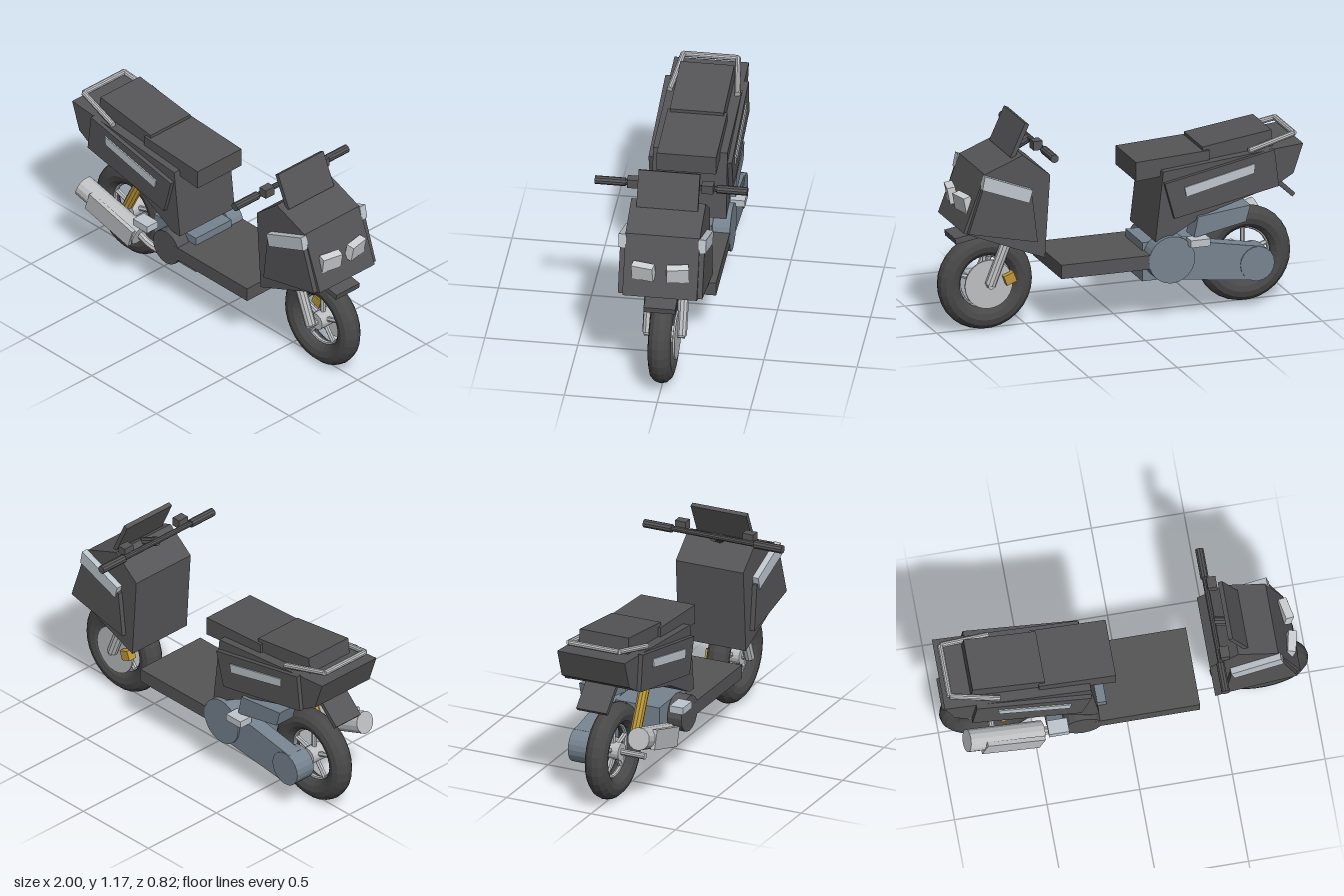
import * as THREE from 'three';

const material = (name, color) => {
  const m = new THREE.MeshStandardMaterial({ color, flatShading: true });
  m.name = name;
  return m;
};

export function createModel() {
  const model = new THREE.Group();
  model.name = 'scooter';
  const body = material('charcoal body', 0x555557);
  const rubber = material('tyre rubber', 0x484848);
  const silver = material('silver metal', 0xbcbec0);
  const trim = material('pale trim', 0xbec6cd);
  const lamp = material('lamp glass', 0xcfd1d4);
  const engineGrey = material('blue grey engine', 0x76838f);
  const gold = material('gold', 0xbd9836);

  const add = (name, geometry, mat, x = 0, y = 0, z = 0, parent = model) => {
    const mesh = new THREE.Mesh(geometry, mat);
    mesh.name = name;
    mesh.position.set(x, y, z);
    parent.add(mesh);
    return mesh;
  };
  const box = (name, w, h, d, mat, x, y, z, tilt = 0) => {
    const mesh = add(name, new THREE.BoxGeometry(w, h, d), mat, x, y, z);
    mesh.rotation.z = tilt;
    return mesh;
  };
  // Side profile extruded from z0 to z1
  const slab = (name, points, z0, z1, mat) => {
    const shape = new THREE.Shape(points.map(([x, y]) => new THREE.Vector2(x, y)));
    const geometry = new THREE.ExtrudeGeometry(shape, { depth: z1 - z0, bevelEnabled: false });
    return add(name, geometry, mat, 0, 0, z0);
  };
  // Cylinder between two points
  const rod = (name, a, b, r, mat, parent = model, sides = 10, rEnd = r) => {
    const from = new THREE.Vector3(...a), to = new THREE.Vector3(...b);
    const dir = to.clone().sub(from);
    const mesh = add(name, new THREE.CylinderGeometry(rEnd, r, dir.length(), sides), mat, 0, 0, 0, parent);
    mesh.position.copy(from).add(to).multiplyScalar(0.5);
    mesh.quaternion.setFromUnitVectors(new THREE.Vector3(0, 1, 0), dir.normalize());
    return mesh;
  };

  // Wheels: tyre, rim, hub and five spokes
  for (const [name, x] of [['frontWheel', 0.73], ['rearWheel', -0.73]]) {
    const wheel = new THREE.Group();
    wheel.name = name;
    wheel.position.set(x, 0.267, 0);
    model.add(wheel);
    add('tyre', new THREE.TorusGeometry(0.204, 0.062, 12, 30), rubber, 0, 0, 0, wheel);
    add('rim', new THREE.TorusGeometry(0.148, 0.014, 8, 30), silver, 0, 0, 0, wheel);
    rod('hub', [0, 0, -0.05], [0, 0, 0.05], 0.048, silver, wheel, 16);
    for (let i = 0; i < 5; i++) {
      const a = Math.PI / 2 + (i * Math.PI * 2) / 5;
      rod('spoke', [0, 0, 0], [0.15 * Math.cos(a), 0.15 * Math.sin(a), 0], 0.014, silver, wheel, 6);
    }
  }

  // Front brake, axle and fork
  rod('brakeDisc', [0.73, 0.267, -0.072], [0.73, 0.267, -0.062], 0.135, silver, model, 28);
  box('brakeCaliper', 0.06, 0.055, 0.05, gold, 0.62, 0.295, -0.08, -0.35);
  rod('frontAxle', [0.73, 0.267, -0.11], [0.73, 0.267, 0.11], 0.018, silver);
  for (const s of [-1, 1]) {
    rod('forkLeg', [0.73, 0.267, s * 0.09], [0.63, 0.52, s * 0.09], 0.03, silver);
  }

  // Front shield
  slab('frontShield', [[0.46, 0.425], [0.92, 0.61], [0.80, 0.925], [0.585, 1.01], [0.43, 0.885]], -0.2, 0.2, body);
  box('frontMudguard', 0.15, 0.032, 0.17, body, 0.85, 0.543, 0, -0.17);
  box('windscreen', 0.025, 0.2, 0.33, body, 0.59, 1.08, 0, 0.43);

  // Parts mirrored on both sides of the body
  const sidePanels = [
    ['frontSidePanel', [[0.54, 0.78], [0.82, 0.85], [0.90, 0.61], [0.51, 0.525]], 0.227, body],
    ['frontSideStripe', [[0.54, 0.82], [0.81, 0.925], [0.825, 0.85], [0.56, 0.75]], 0.235, trim],
    ['rearSidePanel', [[-0.83, 0.895], [-0.21, 0.77], [-0.265, 0.57], [-0.855, 0.69]], 0.224, body],
    ['rearSideStripe', [[-0.715, 0.83], [-0.32, 0.74], [-0.33, 0.69], [-0.71, 0.78]], 0.231, trim],
  ];
  for (const s of [-1, 1]) {
    for (const [name, points, z, mat] of sidePanels) {
      slab(name, points, s > 0 ? 0.195 : -z, s > 0 ? z : -0.195, mat);
    }
    const light = box('headlight', 0.045, 0.09, 0.118, lamp, 0.885, 0.748, s * 0.092);
    light.rotation.set(0, -s * 0.2, -0.2);
    rod('handleGrip', [0.48, 1.042, s * 0.245], [0.48, 1.042, s * 0.41], 0.023, body);
    box('controlBox', 0.05, 0.05, 0.064, body, 0.51, 1.065, s * 0.2);
    box('footPeg', 0.11, 0.04, 0.08, trim, -0.395, 0.434, s * 0.235);
  }
  rod('handlebar', [0.48, 1.042, -0.25], [0.48, 1.042, 0.25], 0.015, body);
  rod('handlebarStem', [0.48, 1.04, 0], [0.59, 0.985, 0], 0.025, body);

  // Floor and pivot
  box('floorboard', 0.57, 0.077, 0.443, body, 0.09, 0.342, -0.003);
  rod('pivotCover', [-0.255, 0.34, 0.135], [-0.255, 0.34, 0.218], 0.1, body, model, 16);

  // Rear body, seats and fender flap
  slab('rearBody', [[-1, 0.905], [-0.83, 0.89], [-0.21, 0.83], [-0.165, 0.445], [-0.225, 0.45],
    [-0.45, 0.57], [-0.85, 0.69], [-0.945, 0.745]], -0.2, 0.2, body);
  slab('rearSeat', [[-0.84, 0.982], [-0.45, 0.927], [-0.455, 0.84], [-0.85, 0.89]], -0.145, 0.145, body);
  slab('frontSeat', [[-0.485, 0.91], [-0.07, 0.886], [-0.07, 0.78], [-0.485, 0.82]], -0.16, 0.16, body);
  box('rearFender', 0.2, 0.025, 0.18, body, -0.915, 0.655, 0, 0.77);

  // Grab rail
  const rail = [[-0.7, 0.89, 0.182], [-0.965, 0.95, 0.147], [-0.965, 0.95, -0.147], [-0.7, 0.89, -0.182]];
  for (let i = 0; i < 3; i++) rod('grabRail', rail[i], rail[i + 1], 0.016, silver);

  // Engine, transmission case and air filter
  box('engineBlock', 0.325, 0.215, 0.26, engineGrey, -0.278, 0.317, 0);
  rod('clutchCover', [-0.25, 0.342, -0.225], [-0.25, 0.342, -0.13], 0.13, engineGrey, model, 24);
  slab('transmissionCase', [[-0.26, 0.45], [-0.26, 0.23], [-0.72, 0.175], [-0.76, 0.36]], -0.215, -0.13, engineGrey);
  rod('finalDriveCover', [-0.735, 0.267, -0.22], [-0.735, 0.267, -0.1], 0.096, engineGrey, model, 20);
  rod('rearAxle', [-0.73, 0.267, -0.13], [-0.73, 0.267, 0.19], 0.018, silver);
  slab('airFilter', [[-0.695, 0.6], [-0.4, 0.565], [-0.375, 0.45], [-0.67, 0.51]], -0.22, -0.1, engineGrey);

  // Rear shock and exhaust
  rod('rearShock', [-0.67, 0.36, 0.1], [-0.545, 0.61, 0.1], 0.03, gold);
  rod('muffler', [-0.48, 0.3, 0.195], [-0.885, 0.432, 0.225], 0.062, silver, model, 14, 0.062);
  const shield = box('heatShield', 0.33, 0.11, 0.025, silver, -0.64, 0.352, 0.262, -0.315);
  shield.rotation.order = 'ZYX';
  shield.rotation.y = 0.06;
  const pipe = new THREE.CatmullRomCurve3([[-0.5, 0.305, 0.19], [-0.4, 0.262, 0.18], [-0.3, 0.25, 0.15], [-0.2, 0.28, 0.1]]
    .map((p) => new THREE.Vector3(...p)));
  add('exhaustPipe', new THREE.TubeGeometry(pipe, 14, 0.022, 8), silver);

  return model;
}
